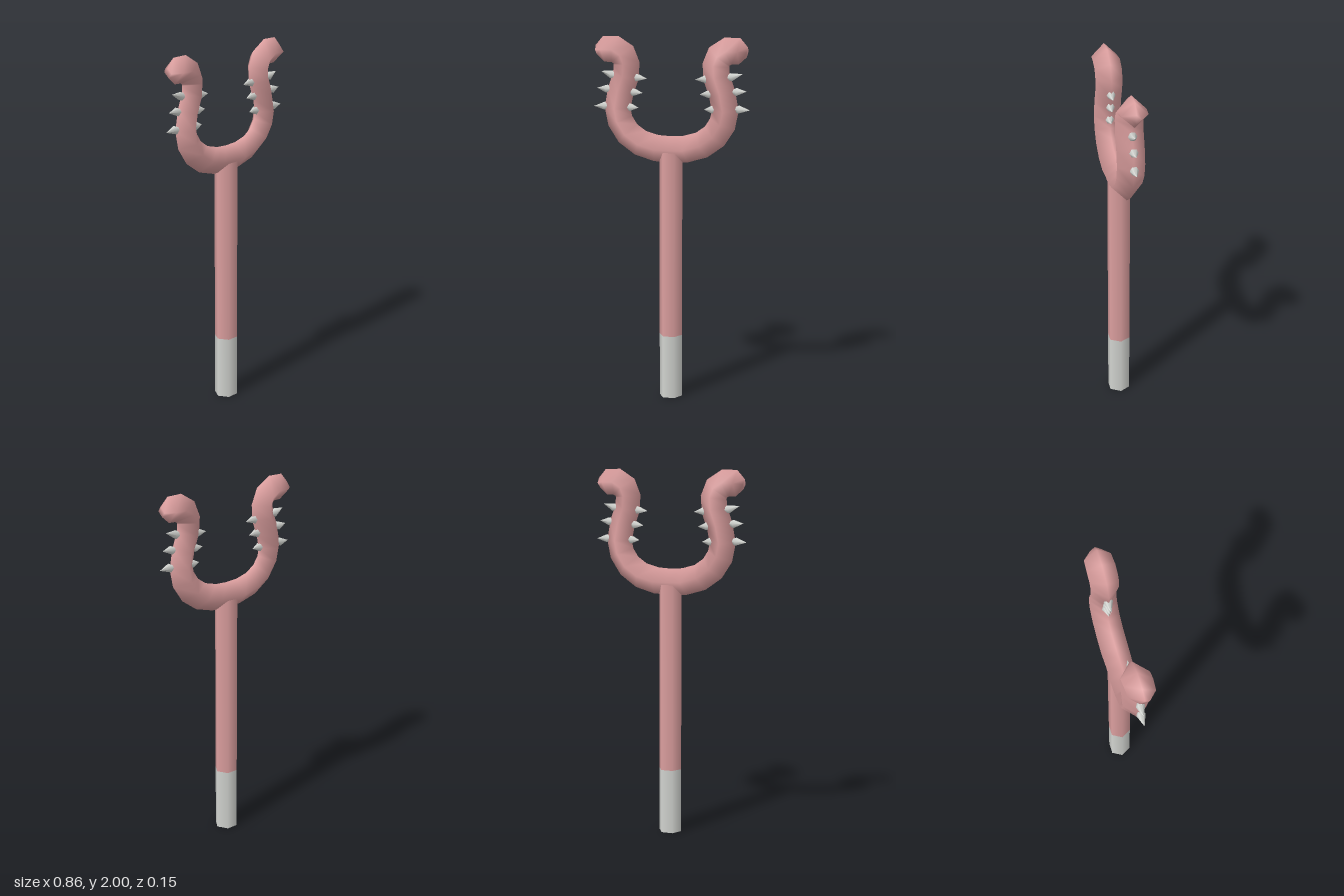
import * as THREE from 'three';

const SIDES = 4;

// Lofts a diamond-section tube along [x, y, radius] stations in the XY plane
function loftTube(stations) {
  const pos = [], idx = [], n = stations.length;
  stations.forEach(([x, y, r], i) => {
    const a = stations[Math.max(i - 1, 0)], b = stations[Math.min(i + 1, n - 1)];
    const t = new THREE.Vector2(b[0] - a[0], b[1] - a[1]).normalize();
    for (let k = 0; k < SIDES; k++) {
      const ang = (k / SIDES) * Math.PI * 2, c = Math.cos(ang) * r;
      pos.push(x - t.y * c, y + t.x * c, Math.sin(ang) * r);
    }
  });
  for (let i = 0; i < n - 1; i++) {
    for (let k = 0; k < SIDES; k++) {
      const a = i * SIDES + k, b = i * SIDES + (k + 1) % SIDES;
      idx.push(a, b, a + SIDES, b, b + SIDES, a + SIDES);
    }
  }
  // End caps
  const e = (n - 1) * SIDES;
  for (let k = 1; k < SIDES - 1; k++) {
    idx.push(0, k + 1, k, e, e + k, e + k + 1);
  }
  const g = new THREE.BufferGeometry();
  g.setAttribute('position', new THREE.Float32BufferAttribute(pos, 3));
  g.setIndex(idx);
  g.computeVertexNormals();
  return g;
}

export function createModel() {
  const group = new THREE.Group();
  const pink = new THREE.MeshStandardMaterial({ color: 0xdc9f9f });
  pink.name = 'pink';
  const silver = new THREE.MeshStandardMaterial({ color: 0xd2d4d0 });
  silver.name = 'silver';

  const add = (name, geometry, material) => {
    const mesh = new THREE.Mesh(geometry, material);
    mesh.name = name;
    group.add(mesh);
    return mesh;
  };

  // Hexagonal staff and its grey foot
  const rod = (name, y0, y1, material) => {
    const g = new THREE.CylinderGeometry(0.064, 0.064, y1 - y0, 6, 1, false, Math.PI / 2);
    add(name, g, material).position.y = (y0 + y1) / 2;
  };
  rod('staffFoot', 0, 0.355, silver);
  rod('staff', 0.355, 1.4, pink);

  // Forked head: one half of the centre line, mirrored across x
  const R = 0.073;
  const half = [
    [0.08, 1.397, R], [0.17, 1.423, R], [0.24, 1.473, R], [0.283, 1.54, R],
    [0.297, 1.61, R], [0.28, 1.70, R], [0.25, 1.785, R], [0.245, 1.85, R],
    [0.263, 1.897, R], [0.31, 1.927, R], [0.372, 1.927, 0.069], [0.414, 1.922, 0.026],
  ];
  const mirrored = half.map(([x, y, r]) => [-x, y, r]).reverse();
  add('forkedHead', loftTube([...mirrored, [0, 1.395, 0.07], ...half]), pink);

  // Spikes: widest point x, y then tip x, y
  const spikes = {
    outerSpike: [[0.328, 1.79, 0.39, 1.808], [0.357, 1.713, 0.412, 1.716], [0.37, 1.62, 0.431, 1.617]],
    innerSpike: [[0.19, 1.777, 0.132, 1.772], [0.208, 1.698, 0.156, 1.694], [0.226, 1.616, 0.18, 1.614]],
  };
  const up = new THREE.Vector3(0, 1, 0);
  for (const [side, sx] of [['left', 1], ['right', -1]]) {
    for (const [kind, list] of Object.entries(spikes)) {
      list.forEach(([x, y, tx, ty], i) => {
        const dir = new THREE.Vector3((tx - x) * sx, ty - y, 0);
        const profile = [[0, -0.045], [0.024, 0], [0, dir.length()]];
        const g = new THREE.LatheGeometry(profile.map(p => new THREE.Vector2(...p)), 6);
        const spike = add(`${side} ${kind} ${i + 1}`, g, silver);
        spike.position.set(x * sx, y, 0);
        spike.quaternion.setFromUnitVectors(up, dir.normalize());
      });
    }
  }
  return group;
}
